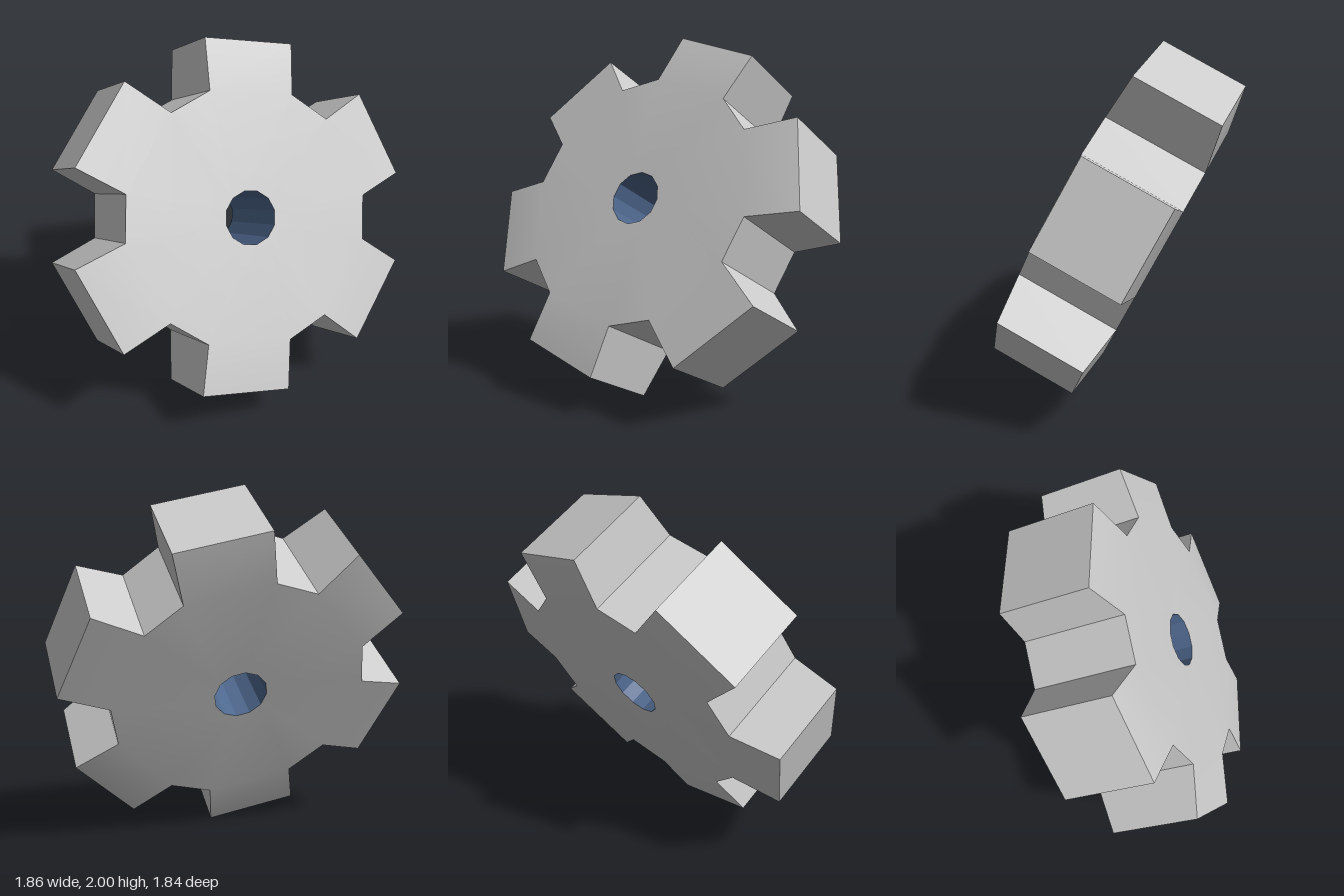
import * as THREE from 'three';
import { toCreasedNormals } from 'three/addons/utils/BufferGeometryUtils.js';

const TEETH = 6, BORE_RADIUS = 0.15;
// Half width, distance from the axis and half thickness at three stations of a tooth sector
const BORE = [BORE_RADIUS * Math.sin(Math.PI / 12), BORE_RADIUS * Math.cos(Math.PI / 12), 0.286];
const ROOT = [0.245, 0.675, 0.29];
const TIP = [0.258, 0.96, 0.25];

// Corner of tooth i; side -1 is its left edge, +1 its right edge
function corner([halfWidth, distance, halfThickness], i, side) {
  return new THREE.Vector3(side * halfWidth, distance, halfThickness)
    .applyAxisAngle(new THREE.Vector3(0, 0, 1), -i * 2 * Math.PI / TEETH);
}

const mirrored = p => new THREE.Vector3(p.x, p.y, -p.z);

function quad(points, a, b, c, d) {
  points.push(a, b, c, a, c, d);
}

// The same face on the front and on the back
function plates(points, a, b, c, d) {
  quad(points, a, b, c, d);
  quad(points, ...[d, c, b, a].map(mirrored));
}

// Wall across the thickness between two rim corners
function wall(points, a, b) {
  quad(points, a, b, mirrored(b), mirrored(a));
}

function makePart(name, points, color) {
  const geometry = toCreasedNormals(new THREE.BufferGeometry().setFromPoints(points), 0.35);
  const mesh = new THREE.Mesh(geometry, new THREE.MeshStandardMaterial({ color }));
  mesh.name = name;
  return mesh;
}

export function createModel() {
  const body = [], bore = [];
  for (let i = 0; i < TEETH; i++) {
    const [boreL, boreR, boreNext] = [corner(BORE, i, -1), corner(BORE, i, 1), corner(BORE, i + 1, -1)];
    const [rootL, rootR, rootNext] = [corner(ROOT, i, -1), corner(ROOT, i, 1), corner(ROOT, i + 1, -1)];
    const [tipL, tipR] = [corner(TIP, i, -1), corner(TIP, i, 1)];

    // Hub faces behind the tooth and behind the gap
    plates(body, boreL, boreR, rootR, rootL);
    plates(body, boreR, boreNext, rootNext, rootR);

    // Tooth, thinning towards its tip
    plates(body, rootL, rootR, tipR, tipL);
    wall(body, rootL, tipL);
    wall(body, tipL, tipR);
    wall(body, tipR, rootR);

    // Floor of the gap
    wall(body, rootR, rootNext);

    // Lining of the centre hole
    wall(bore, boreR, boreL);
    wall(bore, boreNext, boreR);
  }

  const gear = new THREE.Group();
  gear.name = 'gear';
  gear.add(makePart('toothedBody', body, 0xcccccc), makePart('bore', bore, 0x4d668c));

  // Tilt the wheel: its axis points forward, sideways and up
  const axis = new THREE.Vector3(0.627, 0.448, 0.637).normalize();
  const across = new THREE.Vector3(-0.142, 0.87, -0.472).cross(axis).normalize();
  const up = axis.clone().cross(across);
  gear.quaternion.setFromRotationMatrix(new THREE.Matrix4().makeBasis(across, up, axis));
  gear.position.y = 1;

  const model = new THREE.Group();
  model.add(gear);
  return model;
}
